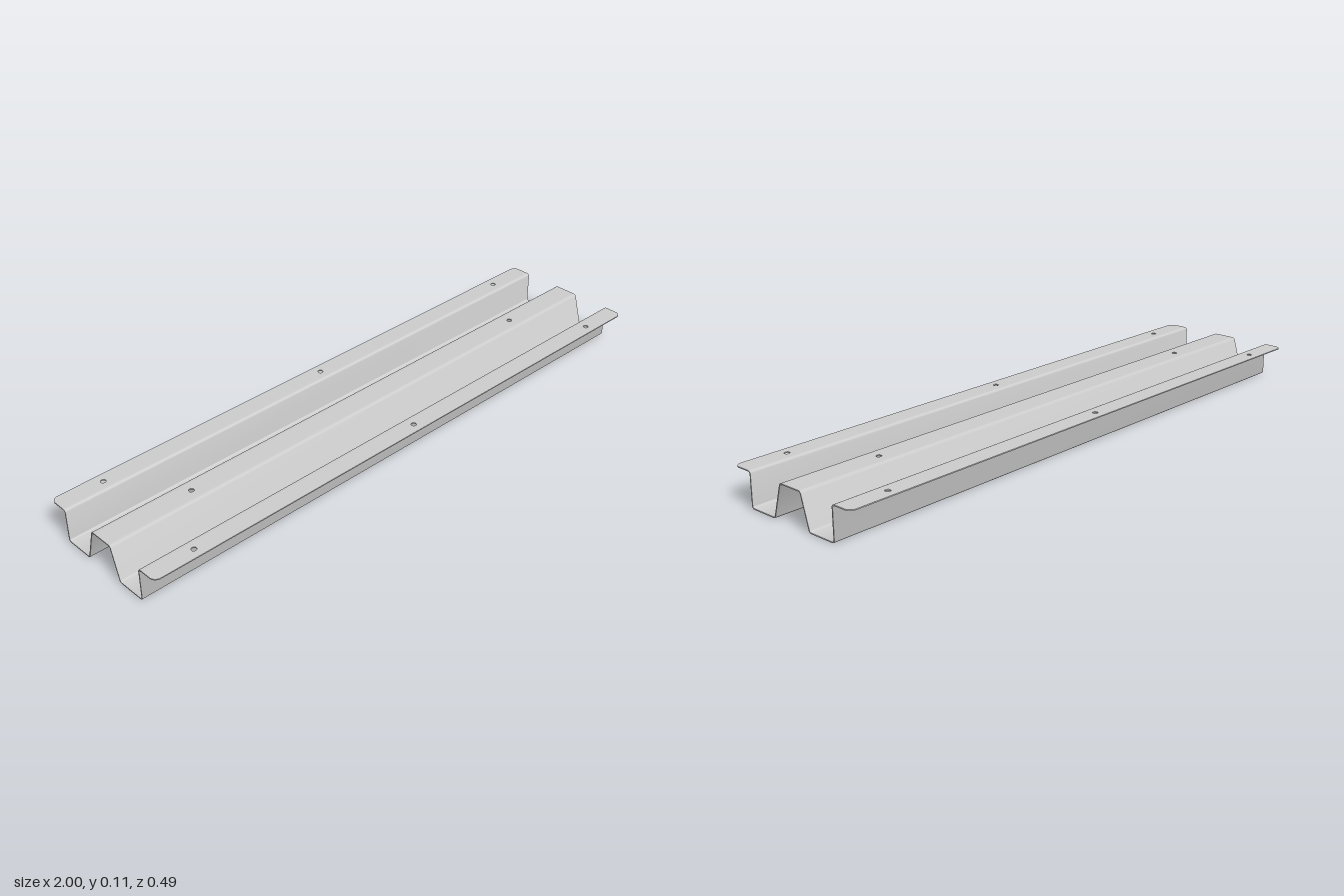
import * as THREE from 'three';
import { toCreasedNormals } from 'three/addons/utils/BufferGeometryUtils.js';

const LENGTH = 2, T = 0.0035, TOP = 0.111, BEND = 0.008;
const FLANGE_IN = 0.185, FLANGE_OUT = 0.2425, CROWN = 0.03, HOLE = 0.0085;

// Sheet outline: a centre line with rounded bends, thickened to both sides
function sheetSection(points) {
  const p = points.map(([x, y]) => new THREE.Vector2(x, y));
  const left = [], right = [];
  const add = (pos, normal) => {
    left.push(pos.clone().addScaledVector(normal, T / 2));
    right.unshift(pos.clone().addScaledVector(normal, -T / 2));
  };
  const dir = (a, b) => b.clone().sub(a).normalize();
  const normalOf = (d) => new THREE.Vector2(-d.y, d.x);

  add(p[0], normalOf(dir(p[0], p[1])));
  for (let i = 1; i < p.length - 1; i++) {
    const d0 = dir(p[i - 1], p[i]), d1 = dir(p[i], p[i + 1]);
    const turn = Math.atan2(d0.cross(d1), d0.dot(d1)), side = Math.sign(turn);
    const start = p[i].clone().addScaledVector(d0, -BEND * Math.tan(Math.abs(turn) / 2));
    const centre = start.addScaledVector(normalOf(d0), side * BEND);
    for (let k = 0; k <= 6; k++) {
      const n = normalOf(d0).rotateAround(new THREE.Vector2(), (turn * k) / 6);
      add(centre.clone().addScaledVector(n, -side * BEND), n);
    }
  }
  const last = p.length - 1;
  add(p[last], normalOf(dir(p[last - 1], p[last])));
  return new THREE.Shape([...left, ...right]);
}

// Flat strip in x and z, with rounded outer corners and round holes
function flatStrip(z0, z1, radius, holes) {
  const h = LENGTH / 2, s = new THREE.Shape();
  s.moveTo(-h, z0);
  s.lineTo(h, z0);
  s.lineTo(h, z1 - radius);
  if (radius) s.absarc(h - radius, z1 - radius, radius, 0, Math.PI / 2, false);
  s.lineTo(-h + radius, z1);
  if (radius) s.absarc(-h + radius, z1 - radius, radius, Math.PI / 2, Math.PI, false);
  s.lineTo(-h, z0);
  for (const [x, z] of holes) {
    const hole = new THREE.Path();
    hole.absarc(x, z, HOLE, 0, Math.PI * 2, true);
    s.holes.push(hole);
  }
  const g = new THREE.ExtrudeGeometry(s, { depth: T, bevelEnabled: false, curveSegments: 10 });
  g.rotateX(Math.PI / 2).translate(0, TOP, 0);
  return toCreasedNormals(g, 0.7);
}

export function createModel() {
  const group = new THREE.Group();
  const material = new THREE.MeshStandardMaterial({ color: 0xcccccc });
  const add = (name, geometry, turn = 0) => {
    const mesh = new THREE.Mesh(geometry, material);
    mesh.name = name;
    mesh.rotation.y = turn;
    group.add(mesh);
  };

  // Channel: upright outer wall, floor and sloping inner wall
  const yTop = TOP - T / 2, yLow = T / 2;
  const section = sheetSection([
    [FLANGE_IN, yTop], [0.172, yTop], [0.172, yLow],
    [0.073, yLow], [0.042, yTop], [CROWN, yTop],
  ]);
  const channel = new THREE.ExtrudeGeometry(section, { depth: LENGTH, bevelEnabled: false });
  channel.translate(0, 0, -LENGTH / 2).rotateY(Math.PI / 2);
  const channelGeometry = toCreasedNormals(channel, 0.5);

  // Outer flange with three fixing holes
  const flange = flatStrip(FLANGE_IN, FLANGE_OUT, 0.022, [-0.845, 0, 0.845].map((x) => [x, 0.21]));

  // Front and back halves match under a half turn
  add('backChannel', channelGeometry);
  add('frontChannel', channelGeometry, Math.PI);
  add('frontFlange', flange);
  add('backFlange', flange, Math.PI);

  // Flat crown of the centre ridge with two holes
  add('centreCrown', flatStrip(-CROWN, CROWN, 0, [[-0.69, 0], [0.69, 0]]));
  return group;
}
